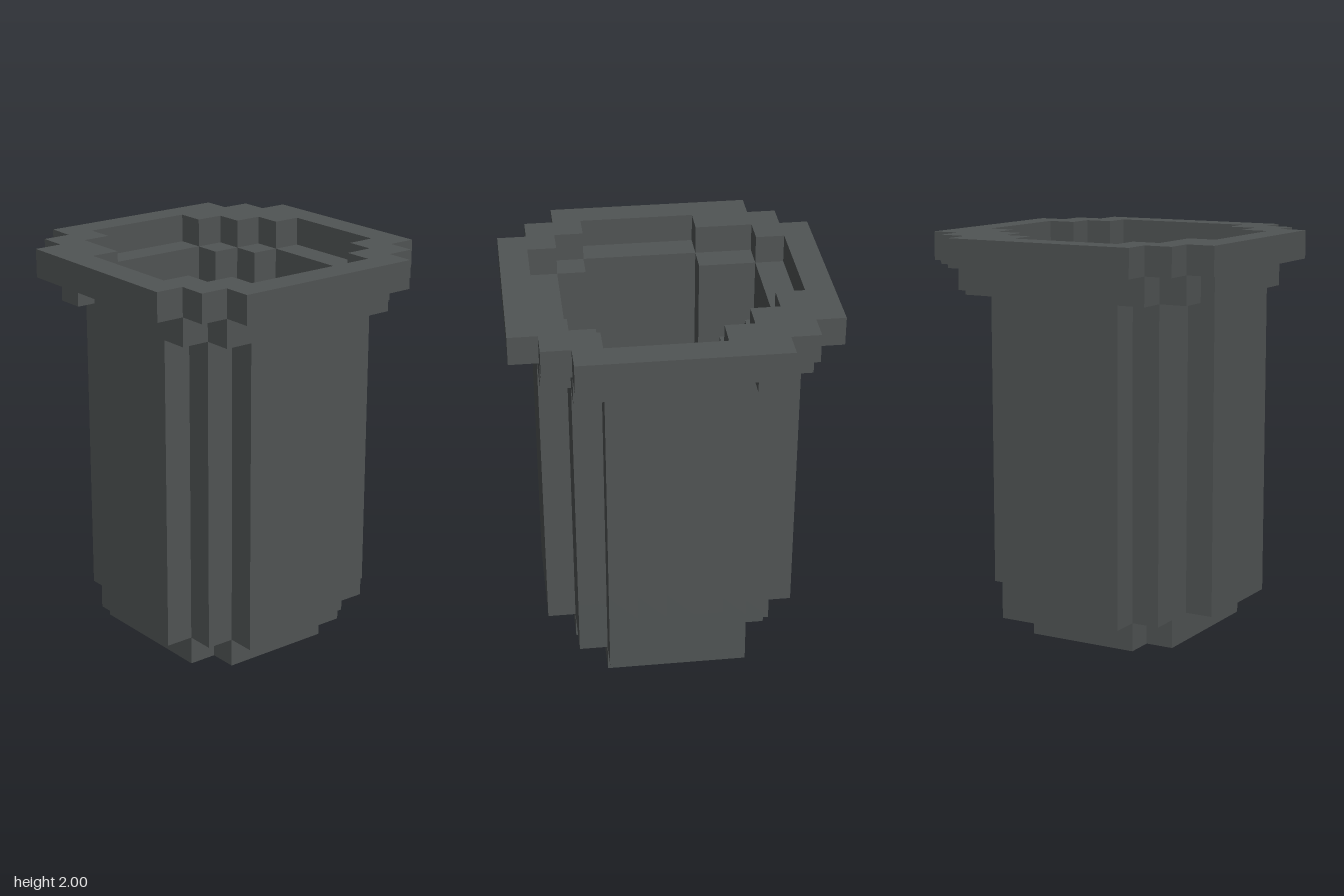
import * as THREE from 'three';

const S = 2 / 14;   // cell size
const N = 11;       // cells across
const H = 14;       // cells high

// Plans as [first, end) runs of cells for each row, from back to front
const rows = (...runs) => runs;
const wide = [1, 10], mid = [2, 9], none = [0, 0], full = [0, 11];
const basePlan = rows(none, none, [3, 7], mid, mid, mid, mid, mid, [3, 7], none, none);
const bodyPlan = rows(none, [3, 7], [2, 8], mid, wide, wide, wide, wide, mid, [3, 7], none);
const cavity = rows(none, none, [3, 7], [3, 8], mid, mid, mid, mid, [3, 7], none, none);
const collarPlan = rows(none, mid, wide, mid, wide, wide, wide, wide, wide, mid, none);
const rimPlan = rows(mid, wide, full, full, full, full, full, full, full, wide, mid);
const rimHole = rows(none, [3, 7], [2, 8], mid, wide, wide, wide, wide, mid, [3, 8], none);

// Height in cells of the litter on the floor
const litter = ['0221200', '0022120', '0211211', '0111112', '2212101', '0112121', '0121200'];

const inside = (plan, x, z) => x >= plan[z][0] && x < plan[z][1];

// Which part fills a cell
function partAt(x, y, z) {
  if (x < 0 || y < 0 || z < 0 || x >= N || y >= H || z >= N) return null;
  if (y === 0) return inside(basePlan, x, z) ? 'base' : null;
  if (y === 13) return inside(rimPlan, x, z) && !inside(rimHole, x, z) ? 'rim' : null;
  if (inside(cavity, x, z)) return y <= Number(litter[z - 2][x - 2]) ? 'litter' : null;
  if (y === 12) return inside(collarPlan, x, z) ? 'collar' : null;
  return inside(bodyPlan, x, z) ? 'wall' : null;
}

// Outer faces of every cell belonging to one part
function cellGeometry(part) {
  const positions = [], normals = [];
  for (let x = 0; x < N; x++) for (let y = 0; y < H; y++) for (let z = 0; z < N; z++) {
    if (partAt(x, y, z) !== part) continue;
    for (let axis = 0; axis < 3; axis++) for (const side of [1, -1]) {
      const n = [0, 0, 0];
      n[axis] = side;
      if (partAt(x + n[0], y + n[1], z + n[2])) continue;
      const u = (axis + 1) % 3, v = (axis + 2) % 3;
      let corners = [[0, 0], [1, 0], [1, 1], [0, 1]];
      if (side < 0) corners = corners.reverse();
      for (const i of [0, 1, 2, 0, 2, 3]) {
        const p = [x, y, z];
        if (side > 0) p[axis] += 1;
        p[u] += corners[i][0];
        p[v] += corners[i][1];
        positions.push((p[0] - N / 2) * S, p[1] * S, (p[2] - N / 2) * S);
        normals.push(...n);
      }
    }
  }
  const g = new THREE.BufferGeometry();
  g.setAttribute('position', new THREE.Float32BufferAttribute(positions, 3));
  g.setAttribute('normal', new THREE.Float32BufferAttribute(normals, 3));
  return g;
}

export function createModel() {
  const darkMetal = new THREE.MeshStandardMaterial({ color: 0x505454 });
  darkMetal.name = 'darkMetal';
  const paleLitter = new THREE.MeshStandardMaterial({ color: 0xa0a0a0 });
  paleLitter.name = 'paleLitter';

  const bin = new THREE.Group();
  bin.name = 'bin';
  for (const part of ['base', 'wall', 'collar', 'rim', 'litter']) {
    const mesh = new THREE.Mesh(cellGeometry(part), part === 'litter' ? paleLitter : darkMetal);
    mesh.name = part;
    bin.add(mesh);
  }
  return bin;
}
